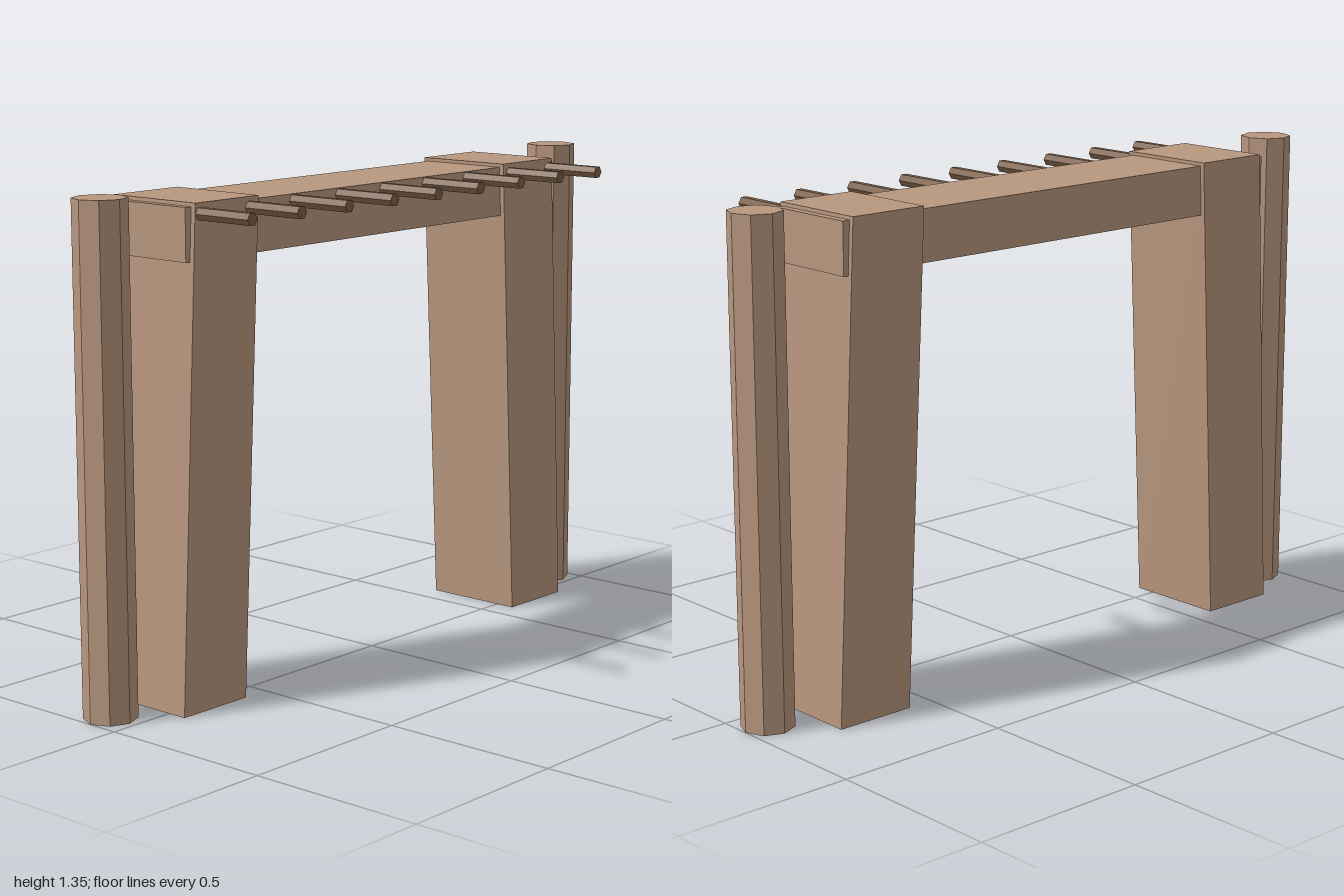
import * as THREE from 'three';

const wood = new THREE.MeshStandardMaterial({ color: 0xb8977e, flatShading: true });
const darkWood = new THREE.MeshStandardMaterial({ color: 0x7d6048, flatShading: true });

function addMesh(parent, name, geometry, material, x, y, z) {
  const mesh = new THREE.Mesh(geometry, material);
  mesh.name = name;
  mesh.position.set(x, y, z);
  parent.add(mesh);
  return mesh;
}

// Leaning leg: a parallelogram extruded front to back, mirrored by side
function legGeometry(side) {
  const corners = [[0.575, 0], [0.805, 0], [0.74, 1.33], [0.51, 1.33]];
  const shape = new THREE.Shape(corners.map(([x, y]) => new THREE.Vector2(side * x, y)));
  return new THREE.ExtrudeGeometry(shape, { depth: 0.294, bevelEnabled: false });
}

export function createModel() {
  const model = new THREE.Group();
  model.name = 'woodenGate';

  // Crossbeam running through the tops of the legs
  addMesh(model, 'crossbeam', new THREE.BoxGeometry(1.524, 0.14, 0.267), wood, 0, 1.25, -0.0905);

  // Legs and free-standing octagonal posts on both sides
  const postGeometry = new THREE.CylinderGeometry(0.0715, 0.0715, 1.35, 8);
  for (const [side, label] of [[1, 'left'], [-1, 'right']]) {
    addMesh(model, label + 'Leg', legGeometry(side), wood, 0, 0, -0.237);
    addMesh(model, label + 'Post', postGeometry, wood, side * 0.9285, 0.675, -0.0885);
  }

  // Row of hexagonal pegs sticking out of the front
  const pegs = new THREE.Group();
  pegs.name = 'pegs';
  const pegGeometry = new THREE.CylinderGeometry(0.018, 0.018, 0.237, 6);
  pegGeometry.rotateY(Math.PI / 6).rotateX(Math.PI / 2);
  for (let i = -4; i <= 4; i++) {
    addMesh(pegs, 'peg', pegGeometry, darkWood, i * 0.1805, 1.302, 0.1185);
  }
  model.add(pegs);

  return model;
}
